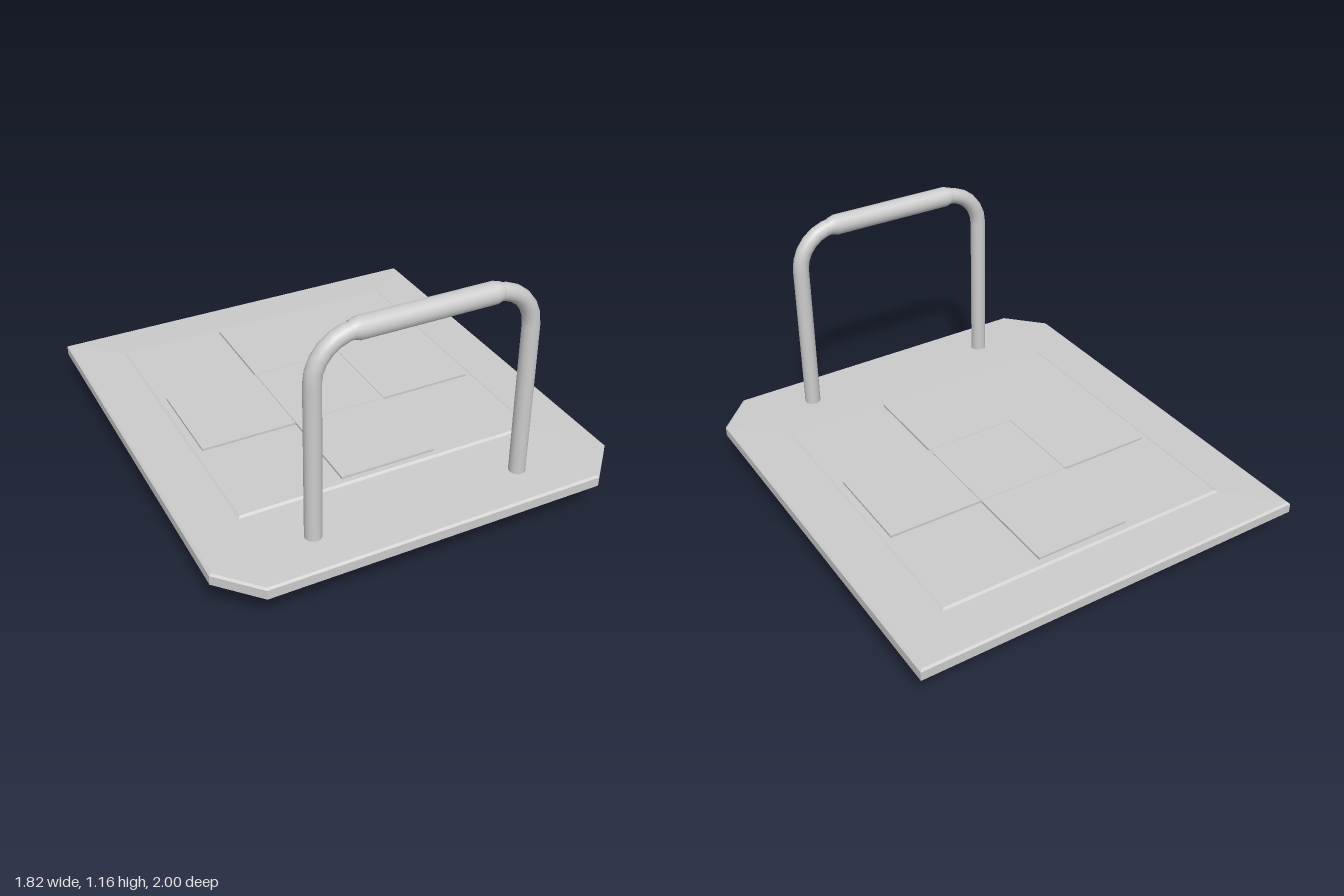
import * as THREE from 'three';

const material = new THREE.MeshStandardMaterial({ color: 0xcccccc, side: THREE.DoubleSide });

function add(parent, name, geometry, x = 0, y = 0, z = 0) {
  const mesh = new THREE.Mesh(geometry, material);
  mesh.name = name;
  mesh.position.set(x, y, z);
  parent.add(mesh);
  return mesh;
}

// Flat-shaded shell through stacked rings, closed on top and open below
function shellGeometry(rings) {
  const positions = [];
  const tri = (a, b, c) => {
    const area = b.clone().sub(a).cross(c.clone().sub(a)).length();
    if (area > 1e-7) for (const p of [a, b, c]) positions.push(p.x, p.y, p.z);
  };
  for (let i = 0; i < rings.length - 1; i++) {
    const low = rings[i], high = rings[i + 1];
    for (let j = 0; j < low.length; j++) {
      const k = (j + 1) % low.length;
      tri(low[j], low[k], high[k]);
      tri(low[j], high[k], high[j]);
    }
  }
  const top = rings[rings.length - 1];
  for (let j = 1; j < top.length - 1; j++) tri(top[0], top[j], top[j + 1]);
  const geometry = new THREE.BufferGeometry();
  geometry.setAttribute('position', new THREE.Float32BufferAttribute(positions, 3));
  geometry.computeVertexNormals();
  return geometry;
}

// Outer outline with two clipped front corners
function outerRing(inset, y) {
  const w = 0.91 - inset, d = 1 - inset, cx = 0.75 - inset * 0.4, cz = 0.83 - inset * 0.4;
  return [[-cx, d], [cx, d], [w, cz], [w, -d], [-w, -d], [-w, cz]]
    .map(([x, z]) => new THREE.Vector3(x, y, z));
}

// Rectangular step around the raised middle, with doubled front corners
function innerRing(grow, y) {
  const w = 0.68 + grow, front = 0.585 + grow, back = -0.775 - grow;
  return [[-w, front], [w, front], [w, front], [w, back], [-w, back], [-w, front]]
    .map(([x, z]) => new THREE.Vector3(x, y, z));
}

// Box without its bottom face
function openBox(w, h, d) {
  const geometry = new THREE.BoxGeometry(w, h, d);
  const index = Array.from(geometry.index.array);
  index.splice(18, 6);
  geometry.setIndex(index);
  geometry.clearGroups();
  return geometry;
}

export function createModel() {
  const model = new THREE.Group();
  model.name = 'handledPlate';

  // Thin cover plate with a rim and a raised middle
  add(model, 'plate', shellGeometry([
    outerRing(0, 0.18), outerRing(0, 0.222), outerRing(0.01, 0.229),
    innerRing(0.01, 0.238), innerRing(0, 0.246),
  ]));

  // Five hollow cells in a cross, open below
  const cells = new THREE.Group();
  cells.name = 'cells';
  model.add(cells);
  const pitch = 0.436, height = 0.257;
  for (const [i, k] of [[0, 0], [1, 0], [-1, 0], [0, 1], [0, -1]]) {
    add(cells, 'cell', openBox(0.434, height, 0.434), i * pitch, height / 2, -0.092 + k * pitch);
  }

  // Bent tube handle with open feet
  const handle = new THREE.Group();
  handle.name = 'handle';
  handle.position.z = 0.81;
  model.add(handle);
  const r = 0.036, bend = 0.18, legX = 0.47, legTop = 0.932, foot = 0.18;
  for (const side of [1, -1]) {
    add(handle, 'leg', new THREE.CylinderGeometry(r, r, legTop - foot, 16, 1, true),
      side * legX, (legTop + foot) / 2, 0);
    const elbow = add(handle, 'elbow', new THREE.TorusGeometry(bend, r, 16, 6, Math.PI / 2),
      side * (legX - bend), legTop, 0);
    if (side < 0) elbow.rotation.y = Math.PI;
  }

  // Thicker grip with tapered ends
  const profile = [[r, -0.32], [0.046, -0.285], [0.046, 0.285], [r, 0.32]];
  const grip = add(handle, 'grip', new THREE.LatheGeometry(
    profile.map(([x, y]) => new THREE.Vector2(x, y)), 16), 0, legTop + bend, 0);
  grip.rotation.z = Math.PI / 2;

  return model;
}
